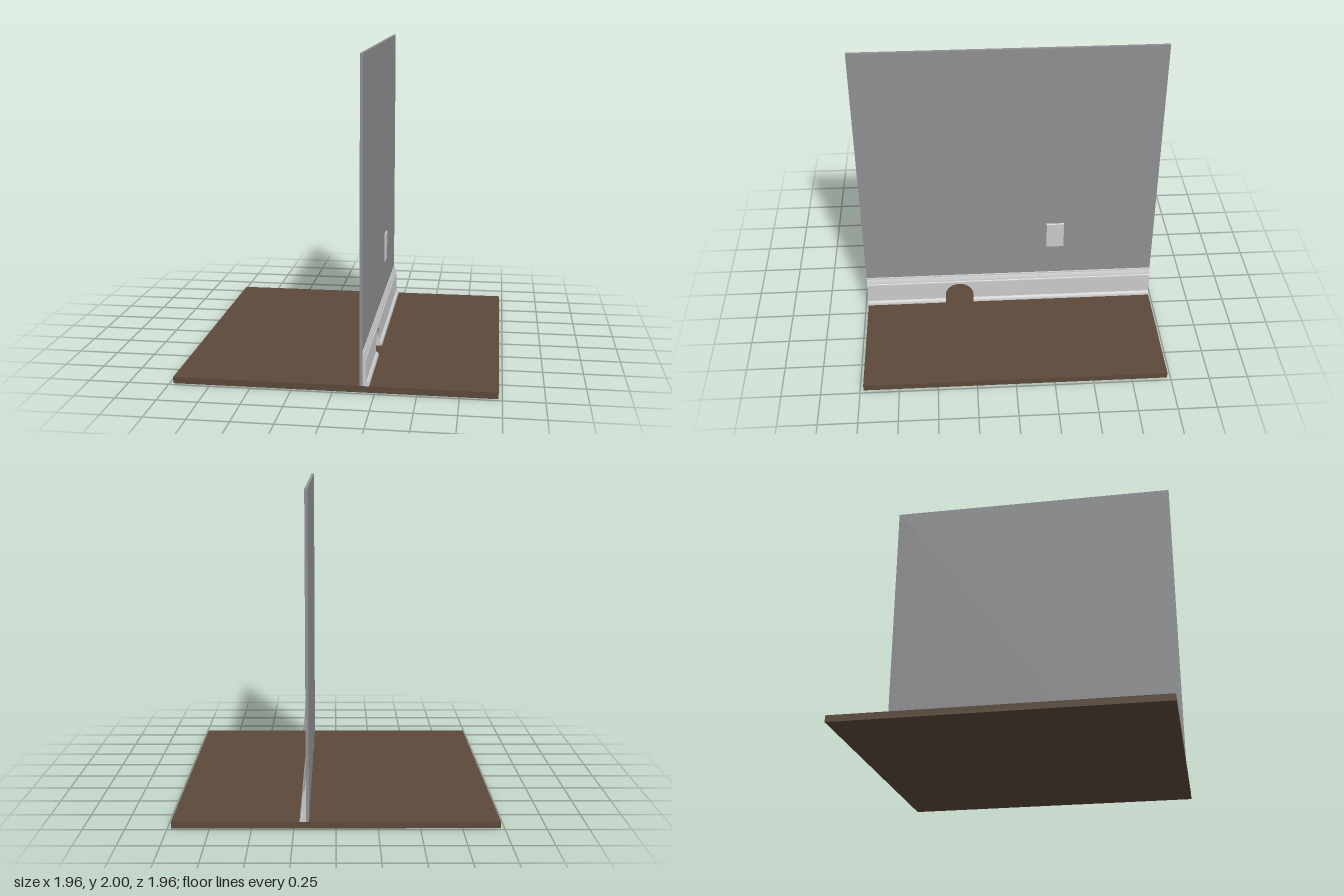
import * as THREE from 'three';

const HALF = 0.978, FLOOR = 0.04;
const WALL_BACK = 0.16, WALL_FRONT = 0.178;
const HOLE = { z: 0.345, r: 0.096, spring: 0.094 };

export function createModel() {
  const root = new THREE.Group();
  const floorMat = new THREE.MeshStandardMaterial({ color: 0x5c4a3a });
  floorMat.name = 'brown floor';
  const wallMat = new THREE.MeshStandardMaterial({ color: 0x909193 });
  wallMat.name = 'grey wall';
  const trimMat = new THREE.MeshStandardMaterial({ color: 0xcccccc });
  trimMat.name = 'white trim';

  const add = (name, geometry, material) => {
    const mesh = new THREE.Mesh(geometry, material);
    mesh.name = name;
    root.add(mesh);
    return mesh;
  };

  // Upright slab with an arched opening, drawn in (-z, y) and extruded along x
  const archedSlab = (top, x0, x1) => {
    const s = new THREE.Shape();
    s.moveTo(-HALF, FLOOR);
    s.lineTo(-HOLE.z - HOLE.r, FLOOR);
    s.lineTo(-HOLE.z - HOLE.r, HOLE.spring);
    s.absarc(-HOLE.z, HOLE.spring, HOLE.r, Math.PI, 0, true);
    s.lineTo(-HOLE.z + HOLE.r, FLOOR);
    s.lineTo(HALF, FLOOR);
    s.lineTo(HALF, top);
    s.lineTo(-HALF, top);
    s.closePath();
    return new THREE.ExtrudeGeometry(s, { depth: x1 - x0, bevelEnabled: false, curveSegments: 12 })
      .rotateY(Math.PI / 2).translate(x0, 0, 0);
  };

  // Moulding with an (x, y) profile running from z0 to z1
  const moulding = (points, z0, z1) => {
    const s = new THREE.Shape(points.map(([x, y]) => new THREE.Vector2(x, y)));
    return new THREE.ExtrudeGeometry(s, { depth: z1 - z0, bevelEnabled: false }).translate(0, 0, z0);
  };

  // Floor and wall
  add('floor', new THREE.BoxGeometry(HALF * 2, FLOOR, HALF * 2).translate(0, FLOOR / 2, 0), floorMat);
  add('wall', archedSlab(2, WALL_BACK, WALL_FRONT), wallMat);

  // Baseboard: flat board with a stepped cap
  add('baseboard', archedSlab(0.2, WALL_FRONT, 0.199), trimMat);
  add('baseboardCap', moulding([
    [WALL_FRONT, 0.2], [0.199, 0.2], [0.198, 0.206], [0.194, 0.211],
    [0.192, 0.222], [0.186, 0.238], [0.183, 0.244], [0.182, 0.254], [WALL_FRONT, 0.256],
  ], -HALF, HALF), trimMat);

  // Quarter-round shoe moulding on both sides of the opening
  const shoe = [[0.199, FLOOR]];
  for (let i = 0; i <= 6; i++) {
    const a = (i / 6) * Math.PI / 2;
    shoe.push([0.199 + 0.018 * Math.cos(a), FLOOR + 0.027 * Math.sin(a)]);
  }
  add('shoeMouldingBack', moulding(shoe, -HALF, HOLE.z - HOLE.r), trimMat);
  add('shoeMouldingFront', moulding(shoe, HOLE.z + HOLE.r, HALF), trimMat);

  // Wall plate: a box whose outer face is drawn in to give sloping edges
  const plate = new THREE.BoxGeometry(0.008, 0.196, 0.122);
  const p = plate.attributes.position;
  for (let i = 0; i < p.count; i++) {
    if (p.getX(i) > 0) p.setXYZ(i, p.getX(i), p.getY(i) * 0.95, p.getZ(i) * 0.92);
  }
  plate.computeVertexNormals();
  add('wallPlate', plate, trimMat).position.set(WALL_FRONT + 0.004, 0.574, -0.31);

  return root;
}
